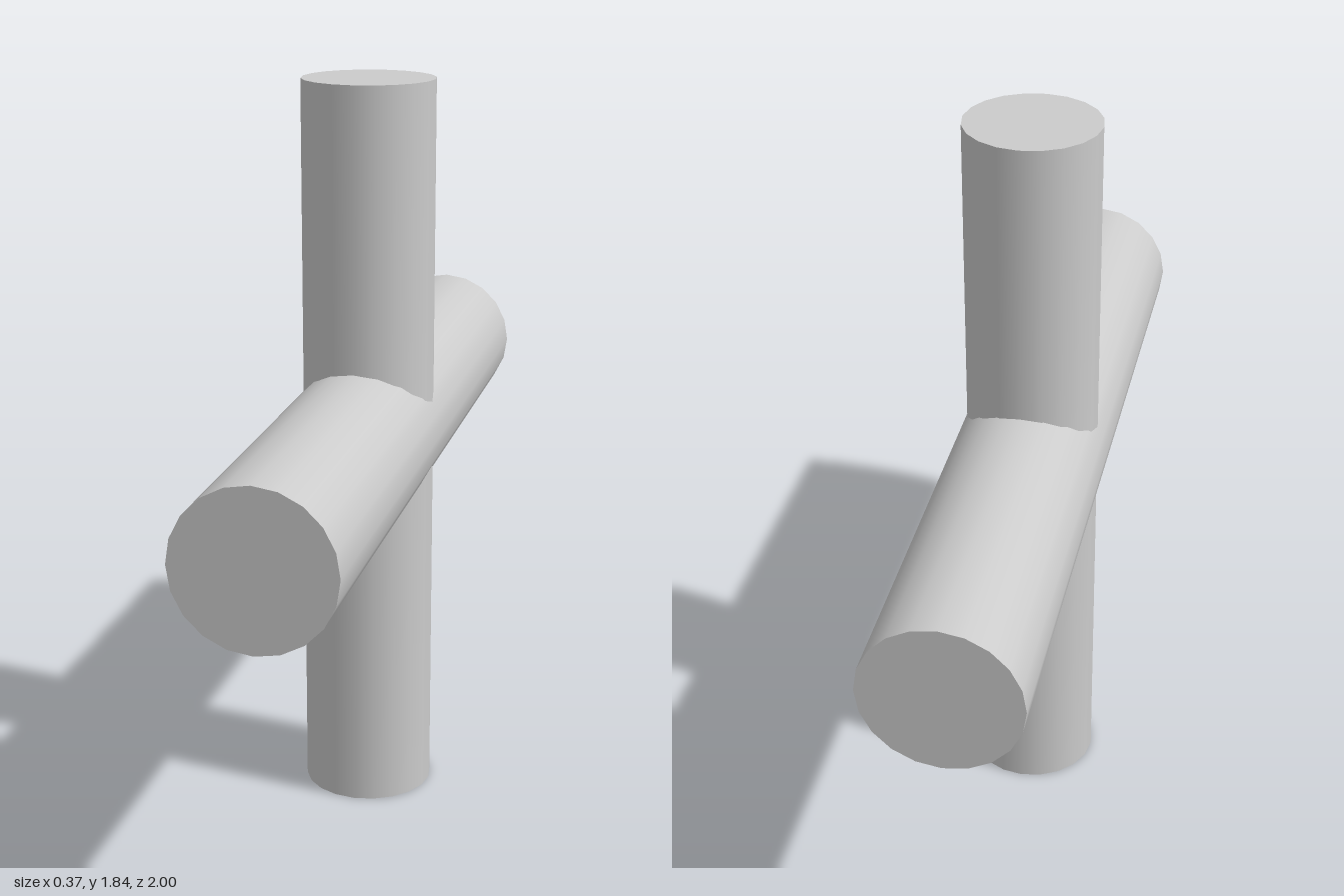
import * as THREE from 'three';

const SIDES = 20;

export function createModel() {
  const model = new THREE.Group();
  model.name = 'crossedPipes';
  const material = new THREE.MeshStandardMaterial({ color: 0xcccccc });

  function rod(name, radius, length) {
    const mesh = new THREE.Mesh(new THREE.CylinderGeometry(radius, radius, length, SIDES), material);
    mesh.name = name;
    model.add(mesh);
    return mesh;
  }

  // Upright rod, standing on the ground and set slightly back
  rod('uprightRod', 0.164, 1.84).position.set(0, 0.92, -0.01);

  // Thicker rod running front to back through the upright
  const cross = rod('crossRod', 0.187, 2);
  cross.rotation.x = Math.PI / 2;
  cross.position.y = 0.957;

  return model;
}
